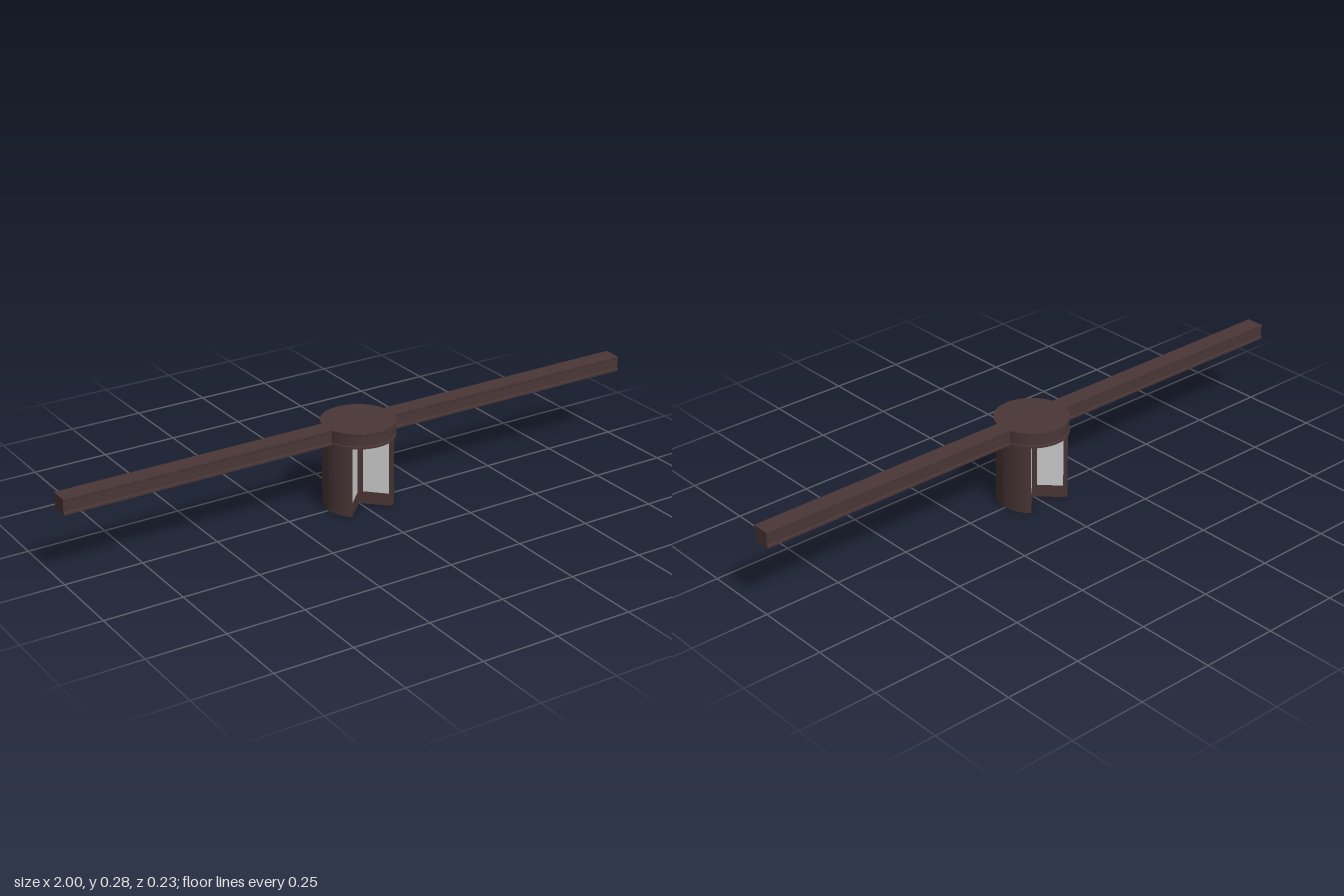
import * as THREE from 'three';

const frameMat = new THREE.MeshStandardMaterial({ color: 0x4a3636 });
const glassMat = new THREE.MeshStandardMaterial({ color: 0xcccccc });

function add(parent, name, geometry, material, x = 0, y = 0, z = 0) {
  const mesh = new THREE.Mesh(geometry, material);
  mesh.name = name;
  mesh.position.set(x, y, z);
  parent.add(mesh);
  return mesh;
}

const box = (w, h, d) => new THREE.BoxGeometry(w, h, d);

// Curved wall: a ring sector extruded upwards
function curvedWall(rOut, rIn, halfAngle, y0, y1) {
  const s = new THREE.Shape();
  s.absarc(0, 0, rOut, -halfAngle, halfAngle, false);
  s.absarc(0, 0, rIn, halfAngle, -halfAngle, true);
  s.closePath();
  const g = new THREE.ExtrudeGeometry(s, { depth: y1 - y0, bevelEnabled: false, curveSegments: 24 });
  g.rotateX(-Math.PI / 2);
  g.translate(0, y0, 0);
  return g;
}

// One glazed wing reaching out from the central post along +x
function doorWing() {
  const wing = new THREE.Group();
  wing.name = 'doorWing';
  const t = 0.008, top = 0.268, inner = 0.016, outer = 0.098, end = 0.106;
  const low = 0.04, high = 0.236, mid = (inner + outer) / 2, span = outer - inner;
  add(wing, 'innerStile', box(inner, top, t), frameMat, inner / 2, top / 2);
  add(wing, 'outerStile', box(end - outer, top, t), frameMat, (outer + end) / 2, top / 2);
  add(wing, 'bottomRail', box(span, low, t), frameMat, mid, low / 2);
  add(wing, 'topRail', box(span, top - high, t), frameMat, mid, (high + top) / 2);
  add(wing, 'glassPane', box(span, high - low, 0.003), glassMat, mid, (low + high) / 2);
  return wing;
}

export function createModel() {
  const model = new THREE.Group();
  model.name = 'revolvingDoor';

  // Round canopy with a lip above and below, hollow underneath
  const profile = [
    [0, 0.268], [0.109, 0.268], [0.109, 0.232], [0.117, 0.232], [0.117, 0.239],
    [0.1145, 0.241], [0.1145, 0.273], [0.117, 0.275], [0.117, 0.282], [0, 0.282],
  ].map(([r, y]) => new THREE.Vector2(r, y));
  // Each straight run is its own lathe so that the profile edges stay sharp
  const canopy = new THREE.Group();
  canopy.name = 'canopy';
  for (let i = 0; i < profile.length - 1; i++) {
    add(canopy, 'canopyBand', new THREE.LatheGeometry([profile[i], profile[i + 1]], 64), frameMat);
  }
  model.add(canopy);

  // Lipped header beams to either side
  const section = new THREE.Shape([
    [-0.03, 0.232], [0.03, 0.232], [0.03, 0.239], [0.0275, 0.241], [0.0275, 0.273],
    [0.03, 0.275], [0.03, 0.282], [-0.03, 0.282], [-0.03, 0.275], [-0.0275, 0.273],
    [-0.0275, 0.241], [-0.03, 0.239],
  ].map(([x, y]) => new THREE.Vector2(x, y)));
  const beam = new THREE.ExtrudeGeometry(section, { depth: 0.89, bevelEnabled: false });
  beam.translate(0, 0, 0.11);
  const wall = curvedWall(0.111, 0.105, 0.8, 0.002, 0.268);
  for (const side of [1, -1]) {
    const name = side > 0 ? 'left' : 'right';
    add(model, name + 'Beam', beam, frameMat).rotation.y = side * Math.PI / 2;
    add(model, name + 'CurvedWall', wall, frameMat).rotation.y = side > 0 ? 0 : Math.PI;
  }

  // Four wings set diagonally around a central post
  const doors = new THREE.Group();
  doors.name = 'doorWings';
  add(doors, 'centralPost', new THREE.CylinderGeometry(0.008, 0.008, 0.268, 16), frameMat, 0, 0.134, 0);
  for (let i = 0; i < 4; i++) {
    const wing = doorWing();
    wing.rotation.y = Math.PI / 4 + i * Math.PI / 2;
    doors.add(wing);
  }
  model.add(doors);
  return model;
}
